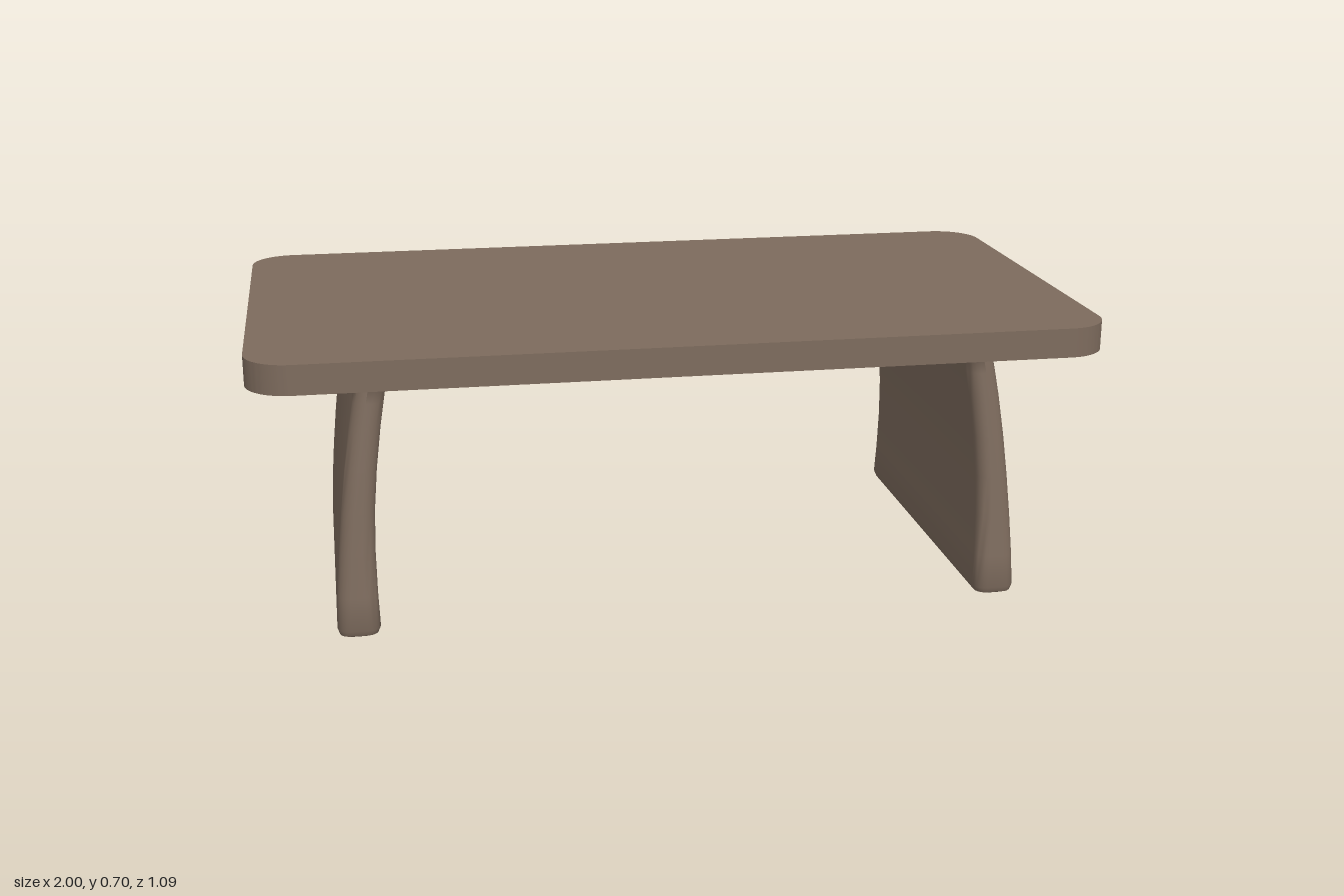
import * as THREE from 'three';
import { toCreasedNormals } from 'three/addons/utils/BufferGeometryUtils.js';

// Rounded rectangle outline, counter-clockwise
function roundedRect(x0, x1, y0, y1, r) {
  const s = new THREE.Shape();
  s.absarc(x1 - r, y1 - r, r, 0, Math.PI / 2);
  s.absarc(x0 + r, y1 - r, r, Math.PI / 2, Math.PI);
  s.absarc(x0 + r, y0 + r, r, Math.PI, Math.PI * 1.5);
  s.absarc(x1 - r, y0 + r, r, Math.PI * 1.5, Math.PI * 2);
  s.closePath();
  return s;
}

// Closed solid through rounded rectangular sections [y, xMin, xMax, half depth, corner radius]
function loft(sections) {
  const pos = [], idx = [], steps = 5, n = 4 * (steps + 1);
  for (const [y, x0, x1, hz, r] of sections) {
    for (let q = 0; q < 4; q++) {
      const cx = q === 0 || q === 3 ? x1 - r : x0 + r;
      const cz = q < 2 ? hz - r : r - hz;
      for (let k = 0; k <= steps; k++) {
        const a = (q + k / steps) * Math.PI / 2;
        pos.push(cx + r * Math.cos(a), y, cz + r * Math.sin(a));
      }
    }
  }
  const last = (sections.length - 1) * n, base = pos.length / 3;
  for (const s of [sections[0], sections[sections.length - 1]]) pos.push((s[1] + s[2]) / 2, s[0], 0);
  for (let j = 0; j < n; j++) {
    const k = (j + 1) % n;
    for (let o = 0; o < last; o += n) idx.push(o + j, o + n + j, o + k, o + k, o + n + j, o + n + k);
    idx.push(base, j, k, base + 1, last + k, last + j);
  }
  const g = new THREE.BufferGeometry();
  g.setAttribute('position', new THREE.Float32BufferAttribute(pos, 3));
  g.setIndex(idx);
  return toCreasedNormals(g, 0.7);
}

export function createModel() {
  const group = new THREE.Group();
  const wood = new THREE.MeshStandardMaterial({ color: 0x7d6b5d });
  wood.name = 'brown wood';

  // Table top: slab with rounded corners
  const slab = new THREE.ExtrudeGeometry(roundedRect(-1, 1, -0.545, 0.545, 0.105),
    { depth: 0.07, bevelEnabled: false, curveSegments: 10 });
  slab.rotateX(-Math.PI / 2);
  const top = new THREE.Mesh(toCreasedNormals(slab, 0.6), wood);
  top.name = 'tableTop';
  top.position.y = 0.626;
  group.add(top);

  // Panel legs: bowed outward, tapering upward, flared where they meet the top
  const legGeometry = loft([
    [0, 0.742, 0.808, 0.442, 0.02],
    [0.006, 0.73, 0.82, 0.454, 0.025],
    [0.02, 0.724, 0.825, 0.46, 0.03],
    [0.1, 0.727, 0.821, 0.454, 0.03],
    [0.2, 0.728, 0.813, 0.446, 0.03],
    [0.3, 0.725, 0.803, 0.439, 0.03],
    [0.4, 0.716, 0.791, 0.432, 0.03],
    [0.5, 0.703, 0.776, 0.425, 0.03],
    [0.56, 0.693, 0.765, 0.421, 0.03],
    [0.595, 0.687, 0.758, 0.419, 0.03],
    [0.608, 0.685, 0.761, 0.428, 0.03],
    [0.618, 0.683, 0.768, 0.447, 0.03],
    [0.628, 0.68, 0.776, 0.47, 0.03],
  ]);
  for (const side of ['left', 'right']) {
    const leg = new THREE.Mesh(legGeometry, wood);
    leg.name = side + 'Leg';
    if (side === 'right') leg.rotation.y = Math.PI;
    group.add(leg);
  }
  return group;
}
